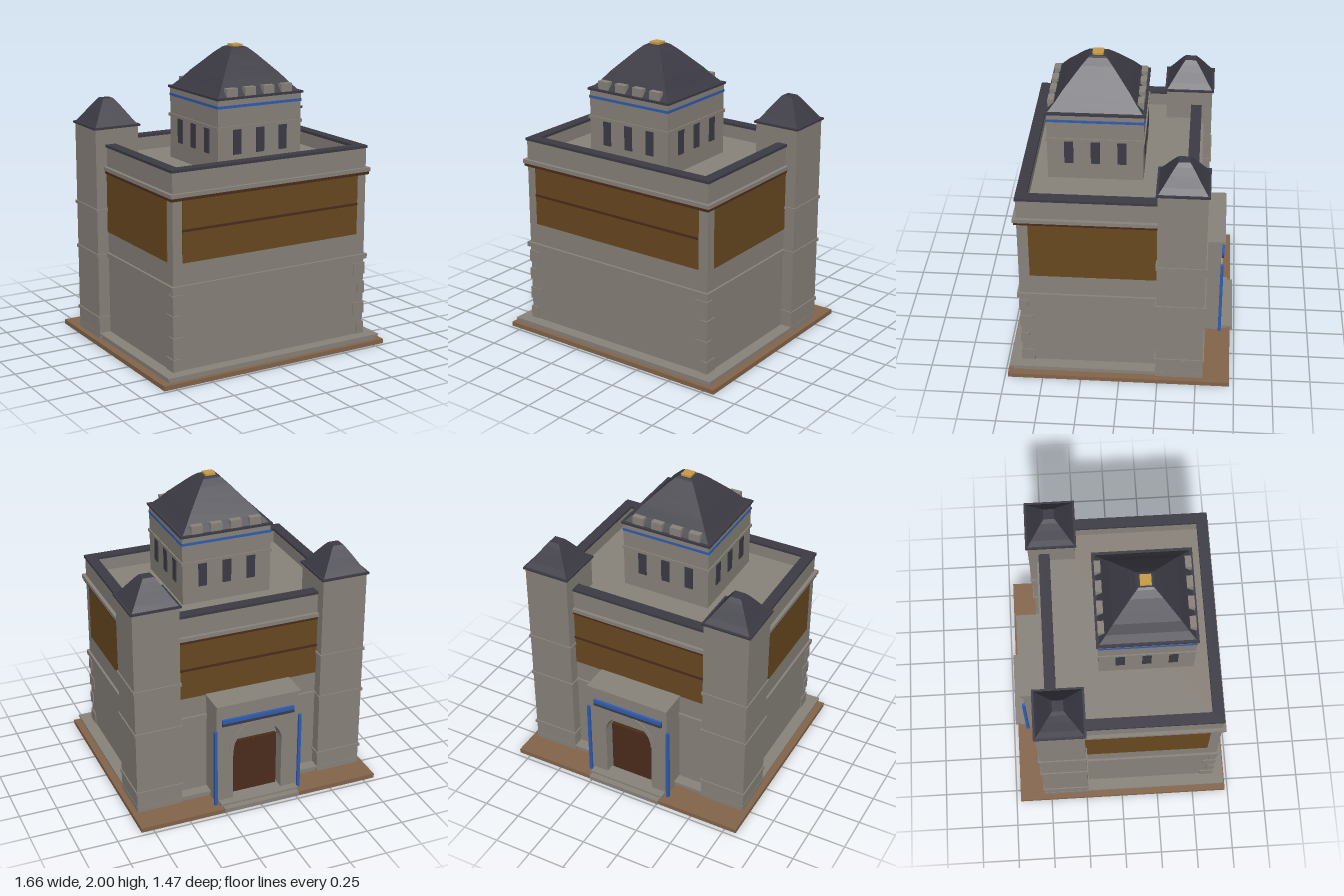
import * as THREE from 'three';

const mat = (name, color) => {
  const m = new THREE.MeshStandardMaterial({ color });
  m.name = name;
  return m;
};

export function createModel() {
  const stone = mat('stone', 0x88827a);
  const slate = mat('slate', 0x3c3b45);
  const ochre = mat('ochre panel', 0x684820);
  const timber = mat('dark timber', 0x4a2c1c);
  const earth = mat('earth', 0x83644a);
  const blue = mat('blue trim', 0x2f5cb0);
  const gold = mat('gold', 0xc89a45);

  const model = new THREE.Group();
  model.name = 'gatehouse';

  const add = (name, geo, material, parent = model) => {
    const mesh = new THREE.Mesh(geo, material);
    mesh.name = name;
    parent.add(mesh);
    return mesh;
  };
  // Box given by its limits on each axis
  const box = (name, material, [x0, x1], [y0, y1], [z0, z1], parent) => {
    const mesh = add(name, new THREE.BoxGeometry(x1 - x0, y1 - y0, z1 - z0), material, parent);
    mesh.position.set((x0 + x1) / 2, (y0 + y1) / 2, (z0 + z1) / 2);
    return mesh;
  };
  // Square block centred on its parent's axis
  const block = (name, material, half, y0, y1, parent) =>
    box(name, material, [-half, half], [y0, y1], [-half, half], parent);
  // Four-sided roof from a profile of [half width, height]
  const hipRoof = (name, profile, parent) => {
    const pts = profile.map(([r, y]) => new THREE.Vector2(r * Math.SQRT2, y));
    const geo = new THREE.LatheGeometry(pts, 4).rotateY(Math.PI / 4).toNonIndexed();
    geo.computeVertexNormals();
    return add(name, geo, slate, parent);
  };
  // Rectangular frame lying flat, with an opening in the middle
  const frame = (name, material, [x0, x1], [z0, z1], t, y0, y1) => {
    const rect = (C, a, b, c, d) => {
      const p = new C();
      p.moveTo(a, c); p.lineTo(b, c); p.lineTo(b, d); p.lineTo(a, d); p.closePath();
      return p;
    };
    const shape = rect(THREE.Shape, x0, x1, -z1, -z0);
    shape.holes.push(rect(THREE.Path, x0 + t, x1 - t, -z1 + t, -z0 - t));
    const geo = new THREE.ExtrudeGeometry(shape, { depth: y1 - y0, bevelEnabled: false });
    add(name, geo.rotateX(-Math.PI / 2).translate(0, y0, 0), material);
  };

  // Ground slab and stepped plinth
  box('groundSlab', earth, [-0.83, 0.83], [0, 0.03], [-0.72, 0.73]);
  box('plinth', stone, [-0.78, 0.78], [0.03, 0.058], [-0.53, 0.7]);
  box('plinthCap', stone, [-0.795, 0.795], [0.058, 0.07], [-0.545, 0.72]);

  // Main hall with sunken roof, parapet and string courses
  box('hallBody', stone, [-0.715, 0.715], [0.07, 1.24], [-0.47, 0.64]);
  frame('parapet', stone, [-0.715, 0.715], [-0.47, 0.64], 0.06, 1.24, 1.328);
  frame('parapetCoping', slate, [-0.723, 0.723], [-0.475, 0.645], 0.072, 1.328, 1.345);
  box('stringCourse', stone, [-0.73, 0.73], [0.588, 0.62], [-0.485, 0.657]);
  box('corniceTimber', timber, [-0.73, 0.73], [1.155, 1.175], [-0.485, 0.657]);
  box('cornice', stone, [-0.738, 0.738], [1.175, 1.2], [-0.493, 0.663]);

  // Coloured upper wall panels
  const py = [0.76, 1.155];
  box('frontPanel', ochre, [-0.65, 0.65], py, [0.638, 0.645]);
  box('backPanel', ochre, [-0.65, 0.65], py, [-0.475, -0.468]);
  box('frontPanelRail', timber, [-0.65, 0.65], [0.957, 0.972], [0.643, 0.651]);
  box('backPanelRail', timber, [-0.65, 0.65], [0.957, 0.972], [-0.481, -0.473]);
  for (const s of [-1, 1]) {
    const x = [s * 0.713, s * 0.72].sort((a, b) => a - b);
    box('sidePanel', ochre, x, py, [-0.4, 0.57]);
  }

  // Alternating quoins on the two front corners
  [0.11, 0.25, 0.39, 0.52].forEach((y, i) => {
    const lx = i % 2 ? 0.09 : 0.055, lz = i % 2 ? 0.055 : 0.09;
    for (const s of [-1, 1]) {
      const q = box('quoin', stone, [-lx / 2, lx / 2], [y - 0.04, y + 0.04], [0.647 - lz, 0.647]);
      q.position.x = s * (0.722 - lx / 2);
    }
  });

  // Corner towers at the back
  for (const s of [-1, 1]) {
    const tower = new THREE.Group();
    tower.name = s > 0 ? 'leftCornerTower' : 'rightCornerTower';
    tower.position.set(s * 0.64, 0, -0.39);
    model.add(tower);
    block('towerShaft', stone, 0.153, 0.03, 1.447, tower);
    for (const y of [0.162, 0.595, 0.9]) block('towerBand', stone, 0.161, y, y + 0.02, tower);
    block('towerEave', slate, 0.165, 1.447, 1.46, tower);
    hipRoof('towerRoof', [[0, 1.459], [0.152, 1.459], [0.125, 1.495], [0.085, 1.555],
      [0.055, 1.598], [0.035, 1.623], [0, 1.623]], tower);
  }

  // Central lantern tower
  const lantern = new THREE.Group();
  lantern.name = 'lanternTower';
  lantern.position.z = 0.18;
  model.add(lantern);
  block('lanternBody', stone, 0.305, 1.24, 1.705, lantern);
  block('lanternBand', stone, 0.313, 1.515, 1.535, lantern);
  block('lanternStripe', blue, 0.309, 1.65, 1.667, lantern);
  block('lanternEave', slate, 0.316, 1.703, 1.717, lantern);
  hipRoof('lanternRoof', [[0, 1.716], [0.298, 1.716], [0.255, 1.762], [0.21, 1.82], [0.155, 1.88],
    [0.1, 1.94], [0.06, 1.978], [0.045, 1.986], [0, 1.986]], lantern);
  block('goldFinial', gold, 0.035, 1.975, 2, lantern);
  for (let side = 0; side < 4; side++) {
    const face = new THREE.Group();
    face.name = 'lanternFace';
    face.rotation.y = side * Math.PI / 2;
    lantern.add(face);
    for (const x of [-0.168, 0, 0.168])
      box('lanternWindow', slate, [x - 0.029, x + 0.029], [1.355, 1.512], [0.303, 0.311], face);
    // Merlons stand on the front and back eaves only
    if (side % 2 === 0) for (const x of [-0.2, -0.067, 0.067, 0.2])
      box('merlon', stone, [x - 0.039, x + 0.039], [1.716, 1.77], [0.262, 0.302], face);
  }

  // Back portal: arched front wall over a recessed door
  const portal = new THREE.Group();
  portal.name = 'portal';
  model.add(portal);
  const wall = new THREE.Shape();
  wall.moveTo(-0.285, 0.03); wall.lineTo(-0.17, 0.03); wall.lineTo(-0.17, 0.41);
  wall.absarc(0, 0.41, 0.17, Math.PI, 0, true);
  wall.lineTo(0.17, 0.03); wall.lineTo(0.285, 0.03);
  wall.lineTo(0.285, 0.75); wall.lineTo(-0.285, 0.75); wall.closePath();
  const wallGeo = new THREE.ExtrudeGeometry(wall, { depth: 0.085, bevelEnabled: false, curveSegments: 20 });
  add('portalFront', wallGeo.translate(0, 0, -0.645), stone, portal);
  box('portalCore', stone, [-0.285, 0.285], [0.03, 0.75], [-0.56, -0.46], portal);
  box('portalCap', stone, [-0.293, 0.293], [0.75, 0.766], [-0.667, -0.46], portal);
  box('door', timber, [-0.16, 0.16], [0.05, 0.435], [-0.585, -0.558], portal);

  // Raised arch moulding
  const arch = new THREE.Shape();
  arch.absarc(0, 0.41, 0.195, 0, Math.PI, false);
  arch.absarc(0, 0.41, 0.17, Math.PI, 0, true);
  const archGeo = new THREE.ExtrudeGeometry(arch, { depth: 0.01, bevelEnabled: false, curveSegments: 20 });
  add('archMoulding', archGeo.translate(0, 0, -0.652), stone, portal);

  // Lintel, side posts and steps
  box('lintelBlue', blue, [-0.25, 0.25], [0.632, 0.657], [-0.663, -0.64], portal);
  box('lintelDark', slate, [-0.25, 0.25], [0.61, 0.632], [-0.659, -0.64], portal);
  for (const s of [-1, 1]) {
    const post = box('portalPost', blue, [-0.01, 0.01], [0.03, 0.58], [-0.66, -0.64], portal);
    post.position.x = s * 0.294;
  }
  box('lowerStep', stone, [-0.262, 0.262], [0.012, 0.04], [-0.737, -0.56], portal);
  box('upperStep', stone, [-0.272, 0.272], [0.03, 0.053], [-0.698, -0.56], portal);

  return model;
}
